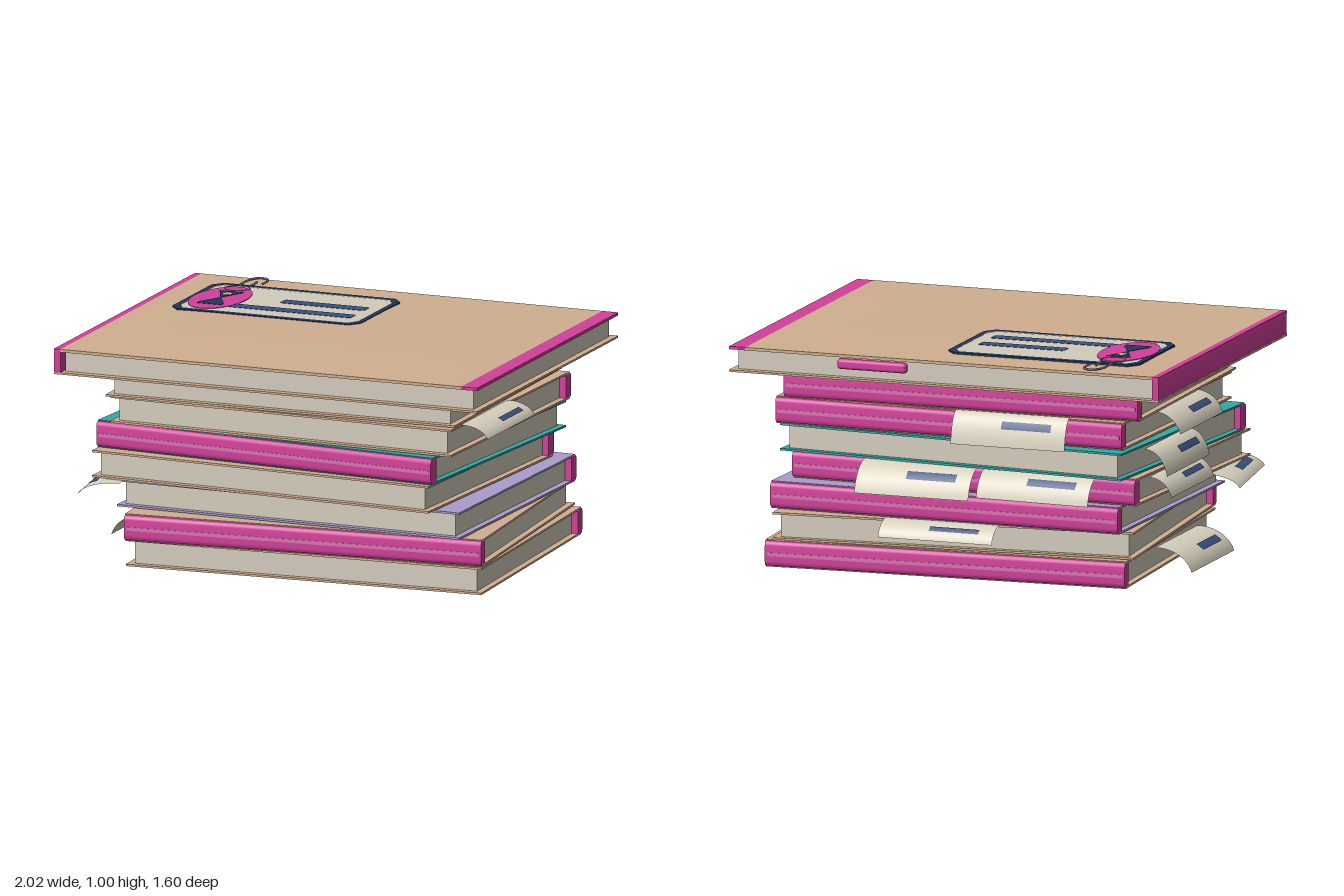
import * as THREE from 'three';
import { toCreasedNormals } from 'three/addons/utils/BufferGeometryUtils.js';
import { RoundedBoxGeometry } from 'three/addons/geometries/RoundedBoxGeometry.js';

const mat = (name, color, side = THREE.FrontSide) => {
  const m = new THREE.MeshStandardMaterial({ color, side });
  m.name = name;
  return m;
};

export function createModel() {
  const tan = mat('tanCover', 0xd0af90);
  const magenta = mat('magentaSpine', 0xd2409a);
  const pink = mat('paleStripe', 0xd873b2);
  const paper = mat('paper', 0xd2ccbc);
  const tagPaper = mat('tagPaper', 0xd8d1bf, THREE.DoubleSide);
  const teal = mat('tealCover', 0x35a8a4);
  const lavender = mat('lavenderCover', 0xaa9cca);
  const navy = mat('navyInk', 0x20365a);
  const blue = mat('blueInk', 0x3a5080, THREE.DoubleSide);
  const wire = mat('clipWire', 0x6c6a80);

  const model = new THREE.Group();
  const add = (parent, name, geo, material, x = 0, y = 0, z = 0) => {
    const m = new THREE.Mesh(geo, material);
    m.name = name;
    m.position.set(x, y, z);
    parent.add(m);
    return m;
  };
  const box = (parent, name, w, h, d, material, x, y, z) =>
    add(parent, name, new THREE.BoxGeometry(w, h, d), material, x, y, z);

  // Rounded spine bar: outer face towards +z, running along x
  function spineGeo(length, height, depth, r) {
    const h = height / 2;
    const s = new THREE.Shape();
    s.moveTo(-depth, -h);
    s.lineTo(-r, -h);
    s.quadraticCurveTo(0, -h, 0, -h + r);
    s.lineTo(0, h - r);
    s.quadraticCurveTo(0, h, -r, h);
    s.lineTo(-depth, h);
    const g = new THREE.ExtrudeGeometry(s, { depth: length, bevelEnabled: false, curveSegments: 5 });
    g.rotateY(-Math.PI / 2).translate(length / 2, 0, 0);
    return toCreasedNormals(g, 0.6);
  }

  // Stacked books: [x, z, turn, spine at front, cover, spine length, width]
  const pitch = 0.1245, coverH = 0.009;
  [
    [0.065, -0.05, 0.045, false, tan, 1.65, 1.285],
    [0.055, -0.02, 0.075, true, tan, 1.64, 1.3],
    [0.03, -0.05, -0.02, false, lavender, 1.63, 1.27],
    [-0.06, 0.005, -0.055, false, tan, 1.63, 1.26],
    [-0.035, -0.03, -0.08, true, teal, 1.64, 1.29],
    [0.01, -0.03, -0.03, false, tan, 1.63, 1.27],
    [-0.02, -0.03, 0.012, false, tan, 1.64, 1.27],
  ].forEach(([x, z, turn, front, cover, w, d], i) => {
    const book = new THREE.Group();
    book.name = 'book' + (i + 1);
    book.position.set(x, i * pitch, z);
    book.rotation.y = turn + (front ? 0 : Math.PI);
    for (const [name, y] of [['bottomCover', coverH / 2], ['topCover', 0.1165]])
      box(book, name, w, coverH, d - 0.015, cover, 0, y, -0.0075);
    box(book, 'pages', w - 0.06, 0.103, d - 0.08, paper, 0, 0.0605, -0.01);
    add(book, 'spine', spineGeo(w, 0.113, 0.055, 0.022), magenta, 0, 0.0605, d / 2);
    box(book, 'spineStripe', w - 0.02, 0.016, 0.003, pink, 0, 0.057, d / 2);
    model.add(book);
  });

  // Large book on top, spine on the -x side
  const top = new THREE.Group();
  top.name = 'topBook';
  model.add(top);
  box(top, 'bottomCover', 2, 0.009, 1.6, tan, 0, 0.8765, 0);
  box(top, 'pages', 1.93, 0.092, 1.53, paper, 0.005, 0.926, 0);
  const spine = add(top, 'spine', spineGeo(1.598, 0.097, 0.03, 0.006), magenta, -0.999, 0.925, 0);
  spine.rotation.y = -Math.PI / 2;
  add(top, 'claspTab', new RoundedBoxGeometry(0.32, 0.045, 0.04, 2, 0.014), magenta, 0.34, 0.94, -0.779);

  // Gently domed top cover in three bands
  const smooth = THREE.MathUtils.smoothstep;
  const dome = (x, z) => 0.007 * smooth(1 - Math.abs(x), 0, 0.4) * smooth(0.8 - Math.abs(z), 0, 0.45);
  function coverBand(name, x0, x1, material) {
    const g = new THREE.BoxGeometry(x1 - x0, 0.013, 1.6, Math.ceil((x1 - x0) * 12), 1, 20);
    g.translate((x0 + x1) / 2, 0.9785, 0);
    const p = g.attributes.position;
    for (let i = 0; i < p.count; i++)
      if (p.getY(i) > 0.98) p.setY(i, p.getY(i) + dome(p.getX(i), p.getZ(i)));
    add(top, name, toCreasedNormals(g, 0.5), material);
  }
  coverBand('coverSpineEdge', -1, -0.97, magenta);
  coverBand('topCover', -0.97, 0.925, tan);
  coverBand('coverForeEdge', 0.925, 1, magenta);

  // Label on the cover: flat plates, points given as (x, z)
  function plate(name, shape, y, material, depth = 0.005) {
    const g = new THREE.ExtrudeGeometry(shape, { depth, bevelEnabled: false, curveSegments: 20 });
    g.rotateX(-Math.PI / 2);
    add(top, name, g, material, 0, y - depth, 0);
  }
  const poly = (pts) => new THREE.Shape(pts.map(([x, z]) => new THREE.Vector2(x, -z)));
  const octagon = (x0, x1, z0, z1, cx, cz) => poly([
    [x0 + cx, z0], [x1 - cx, z0], [x1, z0 + cz], [x1, z1 - cz],
    [x1 - cx, z1], [x0 + cx, z1], [x0, z1 - cz], [x0, z0 + cz]]);
  const ellipse = (x, z, rx, rz) => new THREE.Shape().absellipse(x, -z, rx, rz, 0, Math.PI * 2);
  const frame = octagon(-0.83, 0.06, -0.63, -0.09, 0.04, 0.05);
  const inner = octagon(-0.805, 0.035, -0.6, -0.12, 0.03, 0.05);
  frame.holes.push(inner);
  plate('labelFrame', frame, 0.995, navy, 0.009);
  plate('labelPaper', inner, 0.994, paper, 0.008);
  plate('labelLine', octagon(-0.42, -0.02, -0.43, -0.365, 0.008, 0.008), 0.9955, blue);
  plate('labelLine', octagon(-0.6, -0.02, -0.275, -0.21, 0.008, 0.008), 0.9955, blue);
  plate('badge', ellipse(-0.695, -0.355, 0.122, 0.222), 0.9965, magenta);
  plate('hourglassTop', poly([[-0.75, -0.48], [-0.635, -0.48], [-0.665, -0.41], [-0.692, -0.355], [-0.72, -0.41]]), 0.998, navy);
  plate('hourglassBottom', poly([[-0.692, -0.355], [-0.635, -0.25], [-0.635, -0.22], [-0.75, -0.22], [-0.75, -0.25]]), 0.998, navy);
  plate('hourglassDot', ellipse(-0.69, -0.425, 0.022, 0.026), 1.0, tan);

  // Paper clip at the edge of the label
  const clip = new THREE.CatmullRomCurve3([
    [-0.665, -0.7], [-0.665, -0.62], [-0.69, -0.59], [-0.712, -0.62], [-0.712, -0.73],
    [-0.695, -0.77], [-0.67, -0.78], [-0.642, -0.765], [-0.63, -0.73], [-0.63, -0.66],
  ].map(([x, z]) => new THREE.Vector3(x, 0.9945, z)));
  add(top, 'paperClip', new THREE.TubeGeometry(clip, 48, 0.005, 6), wire);
  const ring = add(top, 'clipRing', new THREE.TorusGeometry(0.055, 0.003, 6, 24), wire, -0.695, 0.9955, -0.55);
  ring.rotation.x = Math.PI / 2;

  // Paper tags curling down out of the stack
  function curl(width, out, drop, s0, s1, lift) {
    const g = new THREE.PlaneGeometry(width, 1, 1, 10);
    const p = g.attributes.position;
    for (let i = 0; i < p.count; i++) {
      const s = s0 + (s1 - s0) * (0.5 - p.getY(i));
      const a = s * 1.35;
      p.setXYZ(i, p.getX(i), drop * (Math.cos(a) - 1) / 0.781 + lift, out * Math.sin(a) / 0.976 + lift);
    }
    g.computeVertexNormals();
    return g;
  }
  const back = Math.PI, left = -Math.PI / 2, right = Math.PI / 2;
  // [x, y, z, facing, out, drop]
  [
    [-0.82, 0.129, -0.07, left, 0.16, 0.1],
    [-0.8, 0.374, 0.4, left + 0.15, 0.18, 0.06],
    [-0.89, 0.499, -0.35, left, 0.1, 0.085],
    [-0.87, 0.622, -0.35, left, 0.1, 0.115],
    [-0.82, 0.748, -0.13, left, 0.13, 0.095],
    [0.82, 0.748, 0.27, right, 0.12, 0.055],
    [-0.27, 0.748, -0.66, back, 0.07, 0.14],
    [0.16, 0.499, -0.64, back, 0.14, 0.13],
    [-0.4, 0.499, -0.64, back - 0.05, 0.12, 0.12],
    [0.05, 0.25, -0.68, back, 0.1, 0.07],
  ].forEach(([x, y, z, facing, out, drop]) => {
    const tag = new THREE.Group();
    tag.name = 'pageTag';
    tag.position.set(x, y, z);
    tag.rotation.y = facing;
    add(tag, 'tagSheet', curl(0.53, out, drop, -0.05, 1, 0), tagPaper);
    add(tag, 'tagLine', curl(0.23, out, drop, 0.45, 0.65, 0.003), blue, 0.08);
    model.add(tag);
  });

  return model;
}
